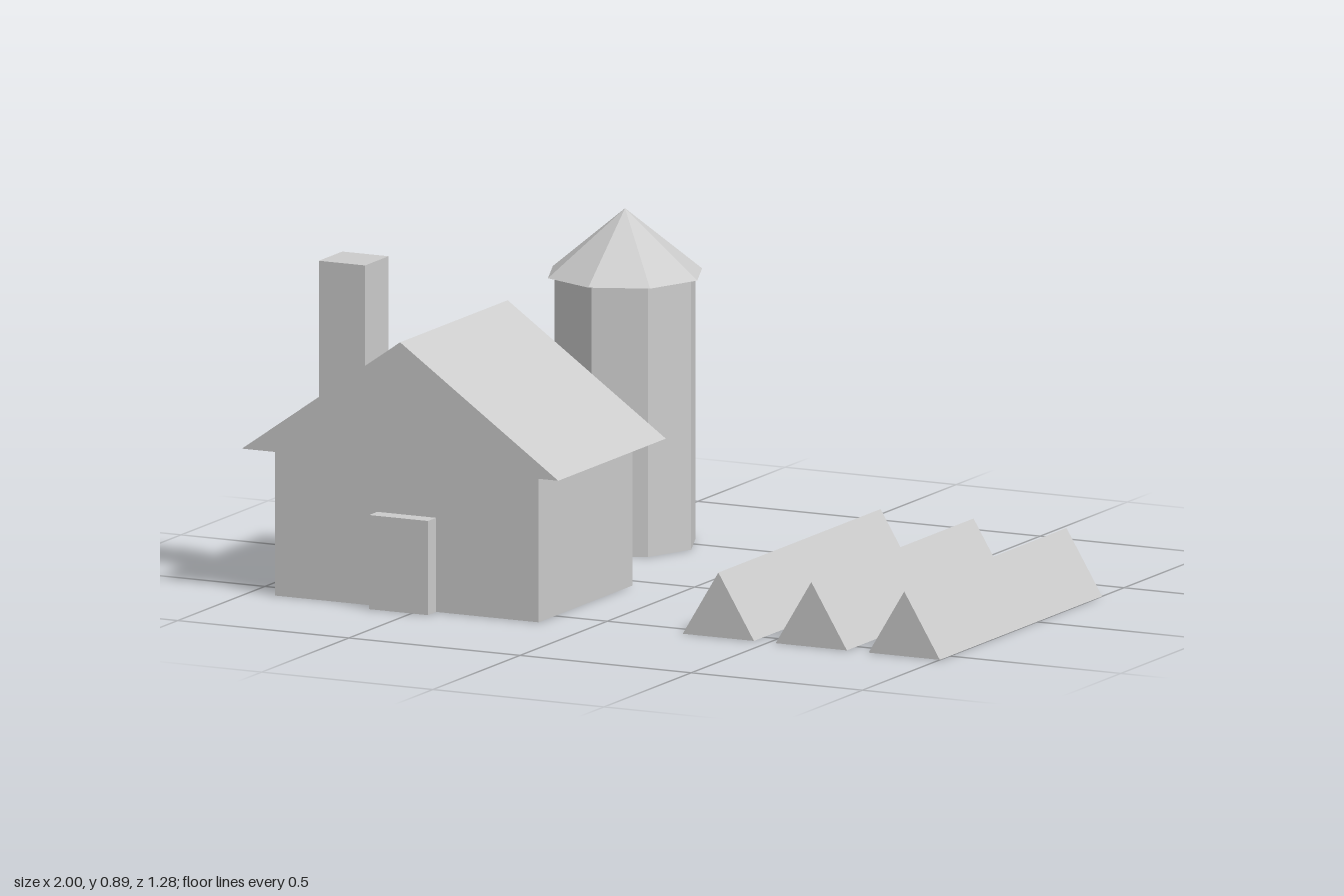
import * as THREE from 'three';

const material = new THREE.MeshStandardMaterial({ color: 0xcccccc, flatShading: true });

function add(parent, name, geometry, x, y, z) {
  const mesh = new THREE.Mesh(geometry, material);
  mesh.name = name;
  mesh.position.set(x, y, z);
  parent.add(mesh);
  return mesh;
}

// Triangular prism: base centred on x, ridge running along z from 0 to depth
function prism(width, height, depth) {
  const shape = new THREE.Shape([
    new THREE.Vector2(-width / 2, 0),
    new THREE.Vector2(width / 2, 0),
    new THREE.Vector2(0, height),
  ]);
  return new THREE.ExtrudeGeometry(shape, { depth, bevelEnabled: false });
}

export function createModel() {
  const farm = new THREE.Group();
  farm.name = 'farm';

  // House with overhanging gable roof
  const house = new THREE.Group();
  house.name = 'house';
  farm.add(house);
  add(house, 'walls', new THREE.BoxGeometry(0.77, 0.39, 0.54), -0.538, 0.195, 0.324);
  add(house, 'roof', prism(0.924, 0.325, 0.617), -0.538, 0.39, 0.015);
  add(house, 'door', new THREE.BoxGeometry(0.172, 0.25, 0.092), -0.538, 0.125, 0.595);
  add(house, 'chimney', new THREE.BoxGeometry(0.135, 0.43, 0.135), -0.752, 0.675, 0.478);

  // Eight-sided silo with a conical cap
  const silo = new THREE.Group();
  silo.name = 'silo';
  silo.position.set(-0.422, 0, -0.43);
  farm.add(silo);
  add(silo, 'siloBody', new THREE.CylinderGeometry(0.193, 0.193, 0.717, 8), 0, 0.3585, 0);
  add(silo, 'siloRoof', new THREE.ConeGeometry(0.211, 0.173, 8), 0, 0.803, 0);

  // Ridged crop rows
  const field = new THREE.Group();
  field.name = 'cropRows';
  farm.add(field);
  for (let i = 0; i < 3; i++) {
    add(field, `cropRow${i + 1}`, prism(0.208, 0.172, 0.93), 0.353 + i * 0.2715, 0, -0.374);
  }
  return farm;
}
